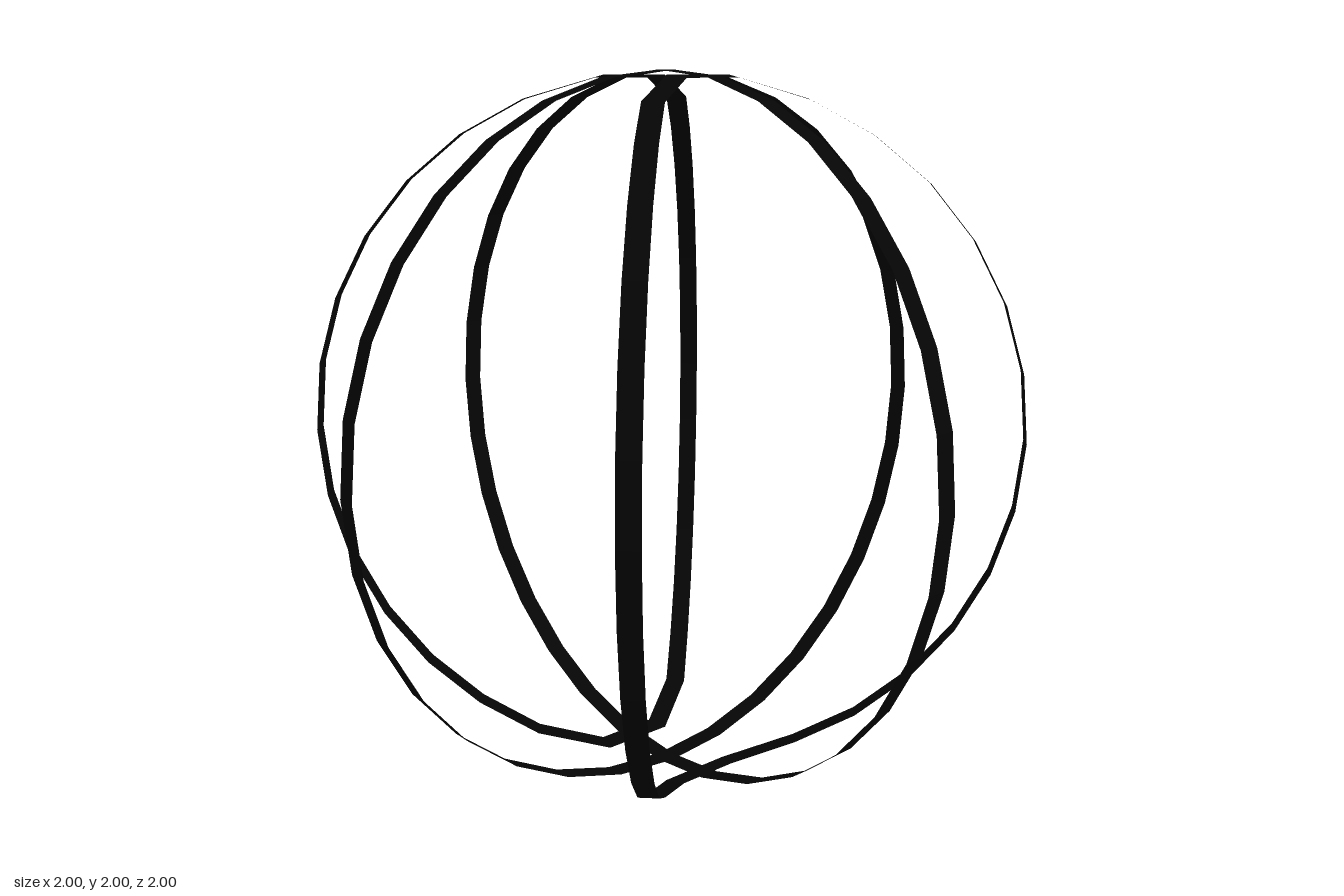
import * as THREE from 'three';

const STEPS = 32;       // segments in a full ring
const HALF_WIDTH = 0.029;

// Flat strip along a closed loop of points, lying tangent to the sphere
function ribbon(name, points, material) {
  const n = points.length;
  const pos = [];
  const index = [];
  points.forEach((p, i) => {
    const before = p.clone().sub(points[(i + n - 1) % n]).normalize();
    const after = points[(i + 1) % n].clone().sub(p).normalize();
    const tangent = before.clone().add(after).normalize();
    const side = tangent.cross(p.clone().normalize()).normalize();
    // Mitre the bend so the strip keeps its width
    const straight = after.clone().cross(p).normalize();
    side.multiplyScalar(HALF_WIDTH / Math.max(0.5, side.dot(straight)));
    const a = p.clone().add(side), b = p.clone().sub(side);
    pos.push(a.x, a.y, a.z, b.x, b.y, b.z);
    const j = (i + 1) % n;
    index.push(2 * i, 2 * j, 2 * i + 1, 2 * j, 2 * j + 1, 2 * i + 1);
  });
  const geometry = new THREE.BufferGeometry();
  geometry.setAttribute('position', new THREE.Float32BufferAttribute(pos, 3));
  geometry.setIndex(index);
  geometry.computeVertexNormals();
  const mesh = new THREE.Mesh(geometry, material);
  mesh.name = name;
  mesh.position.y = 1;
  return mesh;
}

// Point on the unit sphere from latitude step and azimuth
function onSphere(step, azimuth) {
  const lat = (step / STEPS) * Math.PI * 2;
  return new THREE.Vector3(
    Math.cos(lat) * Math.sin(azimuth), Math.sin(lat), Math.cos(lat) * Math.cos(azimuth));
}

// Full circle through both poles
function fullRing(azimuth) {
  return Array.from({ length: STEPS }, (_, i) => onSphere(i, azimuth));
}

// Two diagonal meridians joined by a short bridge beside each pole
function bentLoop(facing) {
  const points = [];
  for (const sx of [1, -1]) {
    for (let i = -6; i <= 6; i++) points.push(onSphere(i * sx, facing + sx * Math.PI / 4));
    for (const x of [0.1, -0.1]) {
      points.push(new THREE.Vector3(x * sx, 0.983 * sx, 0.16)
        .applyAxisAngle(new THREE.Vector3(0, 1, 0), facing));
    }
  }
  return points;
}

export function createModel() {
  const group = new THREE.Group();
  group.name = 'ribbonSphere';
  const black = new THREE.MeshStandardMaterial({
    color: 0x050505, side: THREE.DoubleSide, flatShading: true });
  group.add(
    ribbon('frontBackRing', fullRing(0), black),
    ribbon('leftRightRing', fullRing(Math.PI / 2), black),
    ribbon('frontSeam', bentLoop(0), black),
    ribbon('backSeam', bentLoop(Math.PI), black));
  return group;
}
